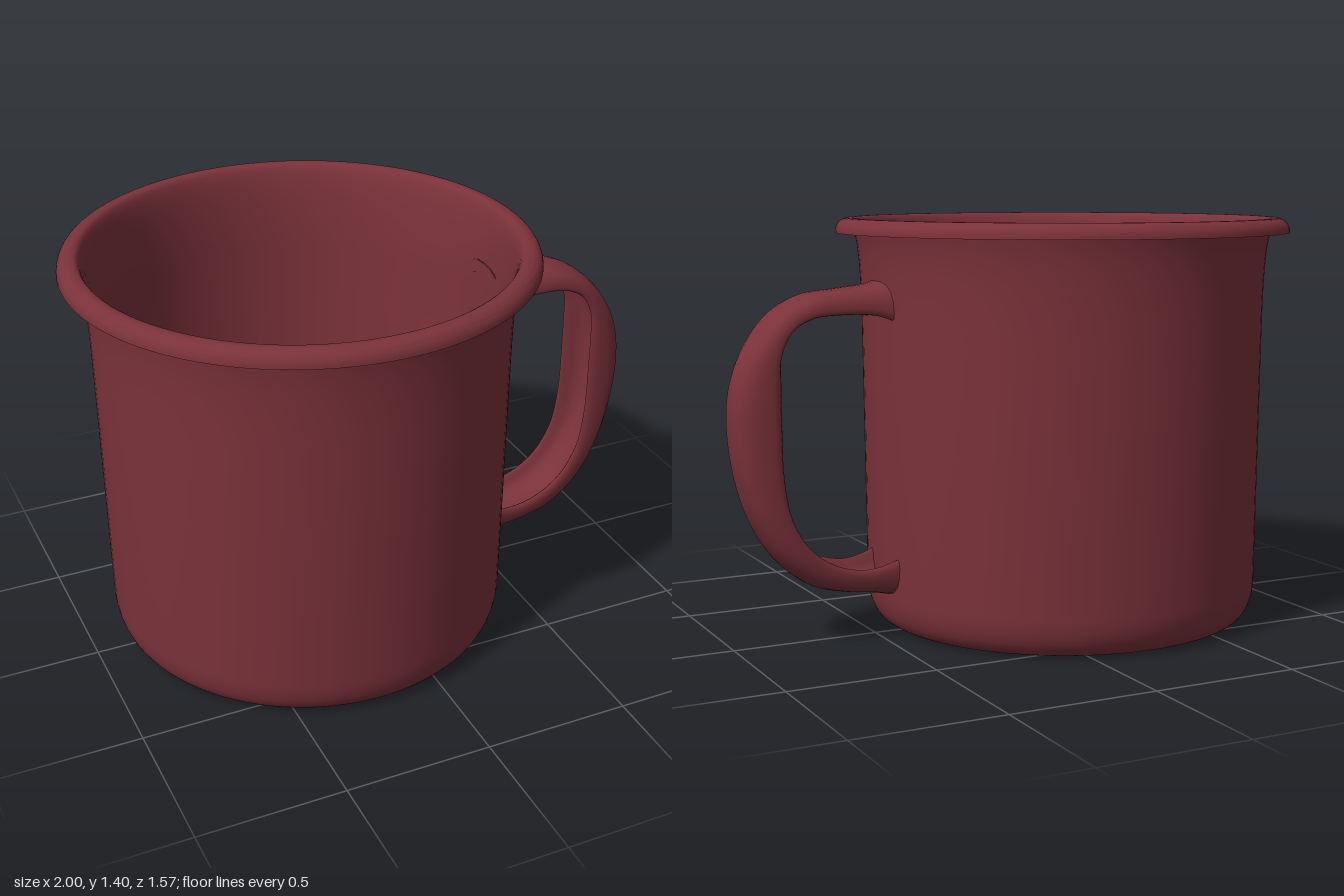
import * as THREE from 'three';
import { toCreasedNormals } from 'three/addons/utils/BufferGeometryUtils.js';

const CUP_X = -0.215;

// Cup wall, rolled rim and floor as one closed profile, outside then inside
function cupGeometry() {
  const p = new THREE.Path();
  p.moveTo(0, 0.004);
  p.lineTo(0.52, 0.004);
  p.lineTo(0.6, 0.004);
  p.bezierCurveTo(0.65, 0.004, 0.682, 0.05, 0.685, 0.14);
  p.lineTo(0.695, 1.0);
  p.bezierCurveTo(0.697, 1.15, 0.7, 1.28, 0.718, 1.35);
  p.lineTo(0.785, 1.35);
  p.bezierCurveTo(0.785, 1.38, 0.765, 1.4, 0.74, 1.4);
  p.lineTo(0.725, 1.4);
  p.bezierCurveTo(0.7, 1.395, 0.685, 1.28, 0.677, 1.1);
  p.lineTo(0.665, 0.16);
  p.bezierCurveTo(0.66, 0.07, 0.63, 0.035, 0.56, 0.028);
  p.lineTo(0.4, 0.024);
  p.lineTo(0, 0.024);
  return toCreasedNormals(new THREE.LatheGeometry(p.getPoints(10), 96), 0.7);
}

// Handle: a channel section swept between an outer and an inner rail
function handleGeometry() {
  // outer x, outer y, inner x, inner y, half width
  const stations = [
    [0.46, 1.205, 0.46, 1.07, 0.122],
    [0.52, 1.19, 0.53, 1.092, 0.113],
    [0.62, 1.178, 0.64, 1.097, 0.106],
    [0.74, 1.162, 0.74, 1.088, 0.105],
    [0.84, 1.11, 0.81, 1.05, 0.105],
    [0.93, 1.005, 0.85, 0.97, 0.105],
    [0.98, 0.9, 0.853, 0.88, 0.105],
    [1.0, 0.78, 0.853, 0.76, 0.105],
    [0.985, 0.6, 0.848, 0.58, 0.105],
    [0.935, 0.43, 0.822, 0.44, 0.105],
    [0.85, 0.29, 0.76, 0.335, 0.105],
    [0.74, 0.2, 0.67, 0.272, 0.105],
    [0.62, 0.166, 0.58, 0.25, 0.108],
    [0.52, 0.153, 0.52, 0.256, 0.115],
    [0.46, 0.14, 0.46, 0.275, 0.122],
  ];
  const rail = (f) => new THREE.CatmullRomCurve3(stations.map(f), false, 'centripetal');
  const outer = rail((s) => new THREE.Vector3(s[0], s[1], s[4]));
  const inner = rail((s) => new THREE.Vector3(s[2], s[3], s[4]));

  // Section: across (-1..1), depth from outer (0) to inner (1)
  const half = [[0, 0], [0.35, 0.02], [0.65, 0.1], [0.86, 0.27], [0.97, 0.52], [1, 0.8], [0.97, 0.96],
    [0.9, 1], [0.82, 0.94], [0.78, 0.72], [0.66, 0.5], [0.4, 0.36], [0, 0.32]];
  const section = [...half, ...half.slice(1, -1).reverse().map(([a, d]) => [-a, d])];
  const n = section.length, steps = 70;
  const pos = [], index = [];
  for (let i = 0; i <= steps; i++) {
    const o = outer.getPoint(i / steps), q = inner.getPoint(i / steps);
    for (const [a, d] of section) {
      pos.push(o.x + (q.x - o.x) * d, o.y + (q.y - o.y) * d, a * o.z);
    }
  }
  for (let i = 0; i < steps; i++) {
    for (let j = 0; j < n; j++) {
      const a = i * n + j, b = i * n + (j + 1) % n;
      index.push(a, b, a + n, b, b + n, a + n);
    }
  }
  const g = new THREE.BufferGeometry();
  g.setAttribute('position', new THREE.Float32BufferAttribute(pos, 3));
  g.setIndex(index);
  g.computeVertexNormals();
  return g;
}

export function createModel() {
  const enamel = new THREE.MeshStandardMaterial({ color: 0x7b323a });
  enamel.name = 'dark red enamel';

  const group = new THREE.Group();
  group.name = 'mug';

  const cup = new THREE.Mesh(cupGeometry(), enamel);
  cup.name = 'cup';
  cup.position.x = CUP_X;

  const handle = new THREE.Mesh(handleGeometry(), enamel);
  handle.name = 'handle';

  group.add(cup, handle);
  return group;
}
